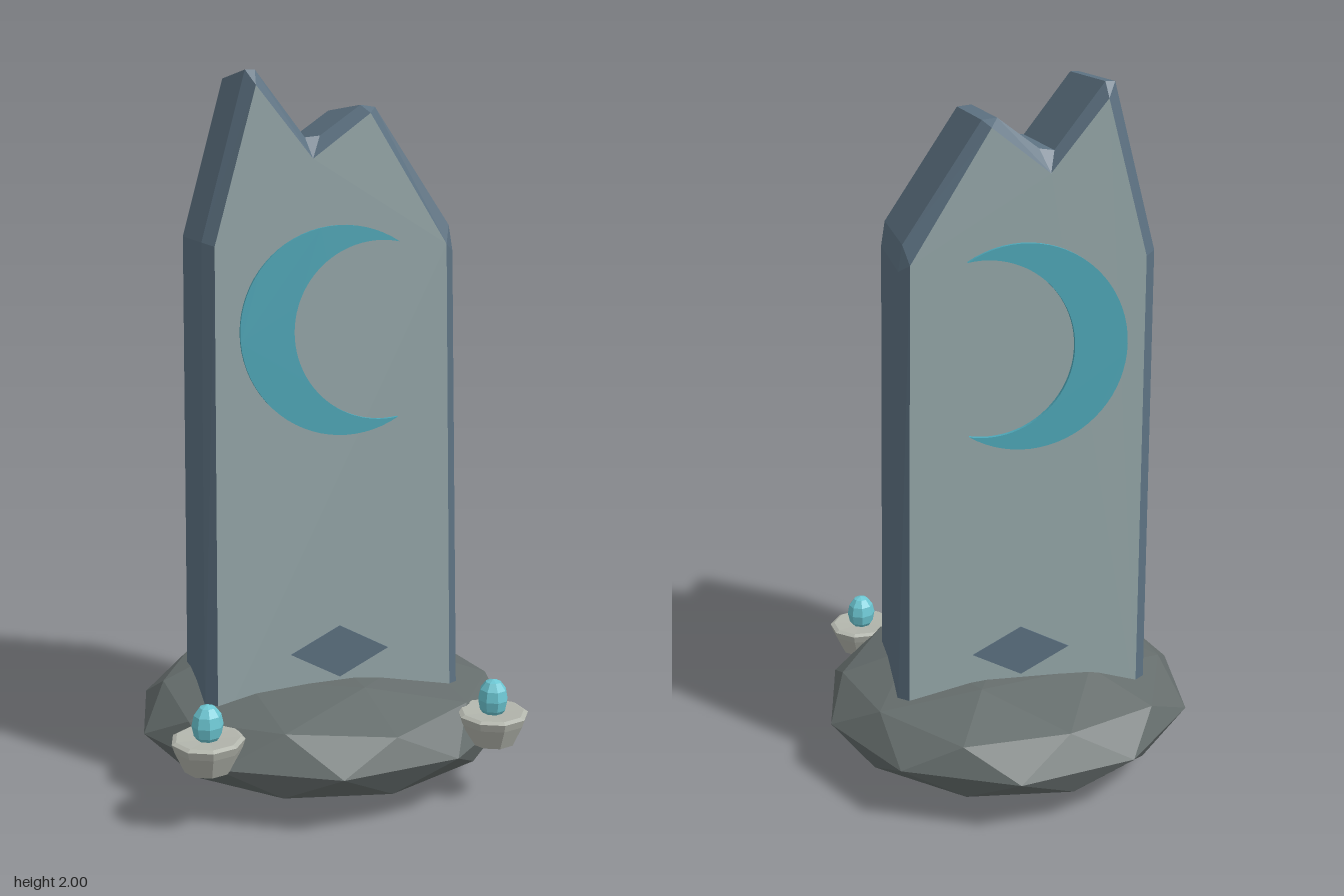
import * as THREE from 'three';

const mat = (color, extra = {}) => new THREE.MeshStandardMaterial({ color, flatShading: true, ...extra });

function add(parent, name, geometry, material) {
  const mesh = new THREE.Mesh(geometry, material);
  mesh.name = name;
  parent.add(mesh);
  return mesh;
}

// Non-indexed geometry from a flat list of Vector3 corners
function fromTriangles(points) {
  const g = new THREE.BufferGeometry().setFromPoints(points);
  g.computeVertexNormals();
  return g;
}

// Slab outline, counter-clockwise: [outer x, outer y, face x, face y]
const OUTLINE = [
  [-0.38, 0.2, -0.348, 0.2], [0.358, 0.2, 0.328, 0.2],
  [0.322, 1.53, 0.295, 1.55], [0.31, 1.6, 0.295, 1.55],
  [0.1, 1.91, 0.08, 1.893], [0.06, 1.915, 0.08, 1.893],
  [-0.05, 1.835, -0.075, 1.775], [-0.09, 1.83, -0.075, 1.775],
  [-0.222, 2, -0.225, 1.96], [-0.248, 2, -0.225, 1.96],
  [-0.368, 1.56, -0.338, 1.55],
];
const HALF_DEPTH = 0.21, BEVEL = 0.03;

// Sides and chamfers, lofted front to back
function slabSides() {
  const rings = [
    [HALF_DEPTH, 2], [HALF_DEPTH - BEVEL, 0], [BEVEL - HALF_DEPTH, 0], [-HALF_DEPTH, 2],
  ].map(([z, o]) => OUTLINE.map(p => new THREE.Vector3(p[o], p[o + 1], z)));
  const tris = [], n = OUTLINE.length;
  for (let r = 0; r < 3; r++) {
    for (let i = 0; i < n; i++) {
      const j = (i + 1) % n;
      const a = rings[r][i], b = rings[r][j], c = rings[r + 1][j], d = rings[r + 1][i];
      if (!a.equals(b)) tris.push(a, c, b);
      tris.push(a, d, c);
    }
  }
  return fromTriangles(tris);
}

function slabFace() {
  const pts = OUTLINE.map(p => new THREE.Vector2(p[2], p[3]));
  return new THREE.ShapeGeometry(new THREE.Shape(pts.filter((p, i) => i === 0 || !p.equals(pts[i - 1]))));
}

function crescent() {
  const R = 0.28, r = 0.24, offset = 0.105;
  const tipX = (R * R - r * r + offset * offset) / (2 * offset);
  const tipY = Math.sqrt(R * R - tipX * tipX);
  const a = Math.atan2(tipY, tipX), b = Math.atan2(tipY, tipX - offset);
  const s = new THREE.Shape();
  s.absarc(0, 0, R, a, 2 * Math.PI - a, false);
  s.absarc(offset, 0, r, 2 * Math.PI - b, b, true);
  return new THREE.ExtrudeGeometry(s, { depth: 0.012, bevelEnabled: false, curveSegments: 24 })
    .translate(0, 1.325, -0.006);
}

export function createModel() {
  const model = new THREE.Group();
  model.name = 'moonStone';
  const stone = mat(0x97a9ab), edge = mat(0x5d7282), rock = mat(0x656d6c);
  const moon = mat(0x4fa9ba), clay = mat(0xb2b5ac), glow = mat(0x6cc6d2);

  // Faceted boulder, one corner pointing straight up
  const boulder = new THREE.IcosahedronGeometry(1, 1)
    .rotateZ(Math.PI / 2 - Math.atan2((1 + Math.sqrt(5)) / 2, 1))
    .rotateY(THREE.MathUtils.degToRad(29))
    .scale(0.553, 0.176, 0.533).translate(0, 0.181, 0);
  add(model, 'boulderBase', boulder, rock);

  // Standing slab with split peak
  const slab = new THREE.Group();
  slab.name = 'slab';
  model.add(slab);
  add(slab, 'slabSides', slabSides(), edge);
  add(slab, 'slabFront', slabFace().translate(0, 0, HALF_DEPTH), stone);
  const back = slabFace().translate(0, 0, -HALF_DEPTH);
  back.setIndex(Array.from(back.index.array).reverse());
  back.computeVertexNormals();
  add(slab, 'slabBack', back, stone);

  // Diamond inlay, showing on both faces
  const diamond = new THREE.CylinderGeometry(1, 1, 2 * HALF_DEPTH + 0.006, 4)
    .rotateX(Math.PI / 2).scale(0.14, 0.075, 1).translate(0, 0.42, 0);
  add(slab, 'diamondInlay', diamond, edge);

  // Crescents floating just off the front and back
  for (const [name, z] of [['crescentFront', 0.245], ['crescentBack', -0.245]]) {
    add(model, name, crescent(), moon).position.z = z;
  }

  // Offering bowls with glowing eggs
  const bowlProfile = [[0, 0.18], [0.066, 0.18], [0.093, 0.24], [0.1, 0.262], [0.088, 0.268], [0, 0.262]]
    .map(p => new THREE.Vector2(...p));
  for (const [side, x] of [['left', 0.4], ['right', -0.4]]) {
    const offering = new THREE.Group();
    offering.name = side + 'Offering';
    offering.position.set(x, 0, 0.367);
    add(offering, 'bowl', new THREE.LatheGeometry(bowlProfile, 9), clay);
    add(offering, 'glowingEgg', new THREE.SphereGeometry(1, 8, 6)
      .scale(0.043, 0.057, 0.043).translate(0, 0.303, 0), glow);
    model.add(offering);
  }
  return model;
}
